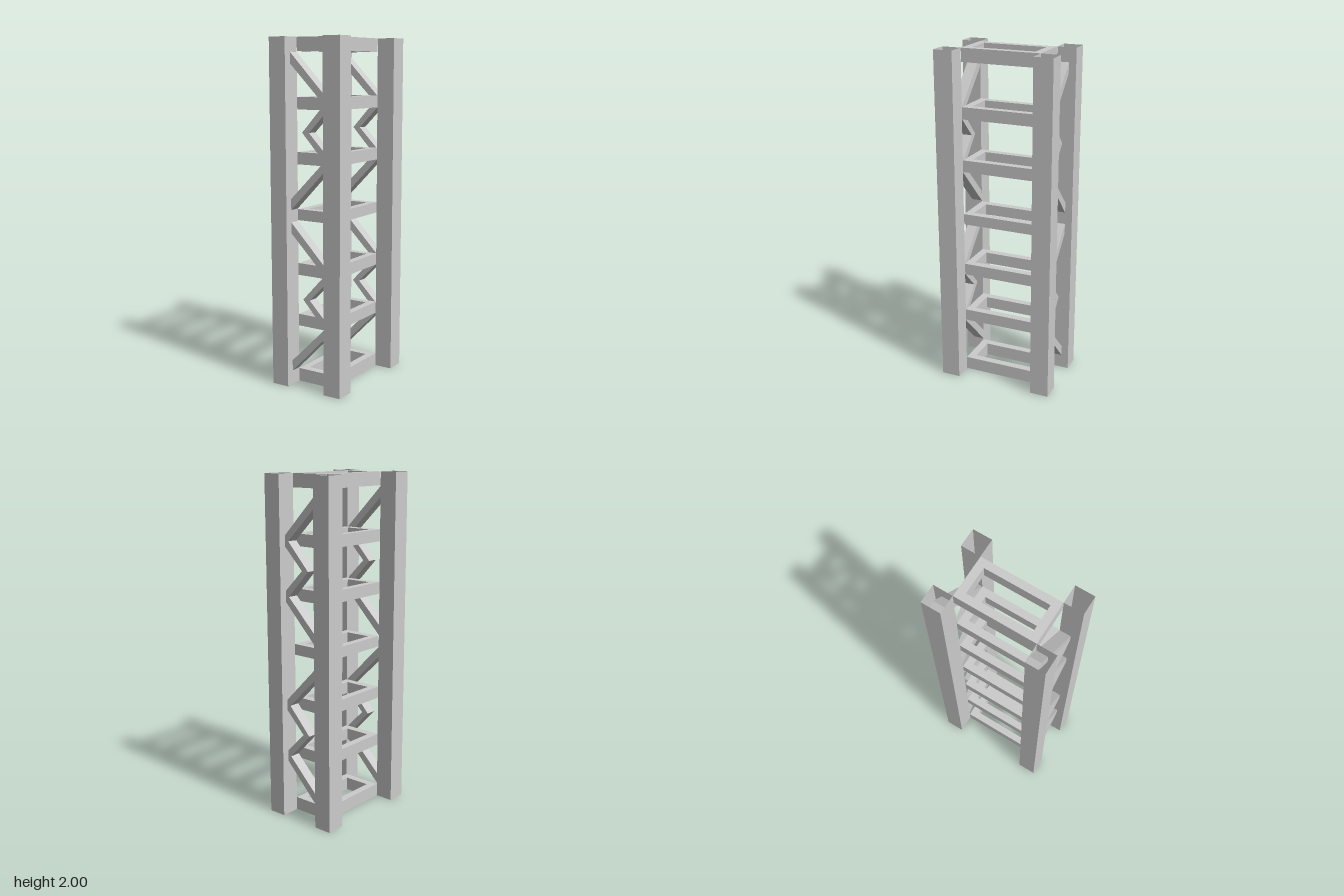
import * as THREE from 'three';

const material = new THREE.MeshStandardMaterial({ color: 0xcccccc, flatShading: true });
const openMaterial = new THREE.MeshStandardMaterial({ color: 0xcccccc, flatShading: true, side: THREE.DoubleSide });

// Rectangular ring lying flat, with its underside at y = 0
function ringGeometry(x, z, innerX, innerZ, height) {
  const rect = (Type, a, b) => new Type([[-a, -b], [a, -b], [a, b], [-a, b]].map(p => new THREE.Vector2(...p)));
  const shape = rect(THREE.Shape, x, z);
  shape.holes.push(rect(THREE.Path, innerX, innerZ));
  return new THREE.ExtrudeGeometry(shape, { depth: height, bevelEnabled: false }).rotateX(-Math.PI / 2);
}

// Zigzag strip, mirrored about its own mid height
function braceGeometry(depth) {
  const outer = [[-0.19, 0.508], [0.155, 0.156], [0, 0]];
  const inner = [[-0.222, 0.475], [0.1, 0.156], [-0.045, 0]];
  const flip = pts => pts.slice(0, 2).reverse().map(([x, y]) => [x, -y]);
  const right = [...outer, ...flip(outer)];
  const left = [...inner, ...flip(inner)].reverse();
  const shape = new THREE.Shape([...right, ...left].map(p => new THREE.Vector2(...p)));
  return new THREE.ExtrudeGeometry(shape, { depth, bevelEnabled: false }).translate(0, 0, -depth / 2);
}

export function createModel() {
  const model = new THREE.Group();
  model.name = 'latticeTower';
  const add = (name, geometry, mat, x, y, z) => {
    const mesh = new THREE.Mesh(geometry, mat);
    mesh.name = name;
    mesh.position.set(x, y, z);
    model.add(mesh);
  };

  // Four square corner posts, open at both ends
  const post = new THREE.CylinderGeometry(Math.SQRT1_2, Math.SQRT1_2, 2, 4, 1, true)
    .rotateY(Math.PI / 4).scale(0.108, 1, 0.112);
  for (const [sx, side] of [[1, 'Left'], [-1, 'Right']])
    for (const [sz, end] of [[1, 'front'], [-1, 'back']])
      add(`${end}${side}Post`, post, openMaterial, sx * 0.178, 1, sz * 0.291);

  // Horizontal ring frames: underside and height
  const levels = [[0, 0.078], [0.34, 0.07], [0.645, 0.07], [0.968, 0.064], [1.29, 0.07], [1.6, 0.07], [1.922, 0.078]];
  levels.forEach(([y, h], i) =>
    add(`ringFrame${i + 1}`, ringGeometry(0.124, 0.234, 0.08, 0.188, h), material, 0, y, 0));

  // Two zigzag braces on the front and two on the back
  const brace = braceGeometry(0.065);
  for (const [z, end] of [[0.268, 'front'], [-0.272, 'back']])
    for (const [y, level] of [[0.524, 'Lower'], [1.477, 'Upper']])
      add(`${end}${level}Brace`, brace, material, 0, y, z);

  return model;
}
